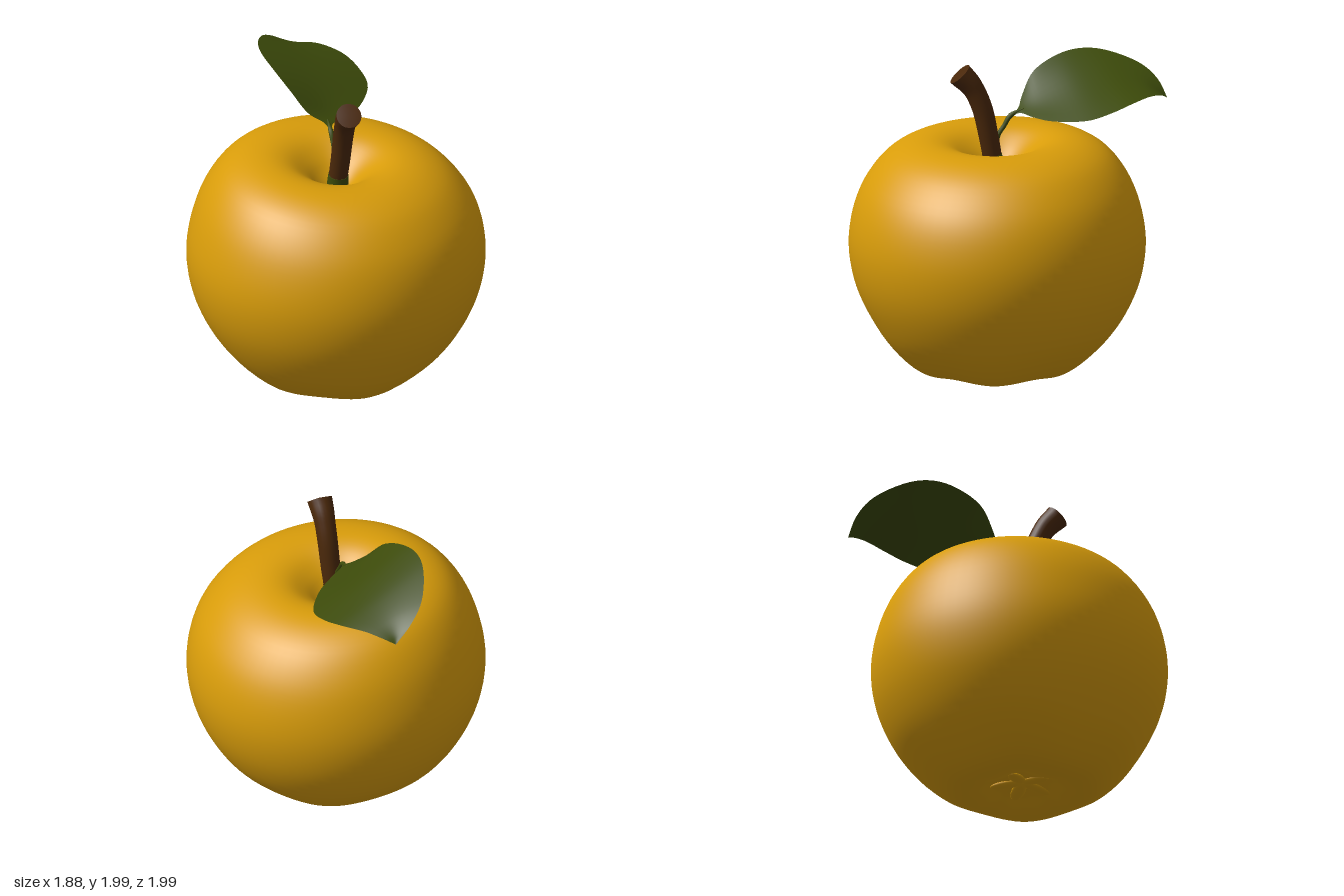
import * as THREE from 'three';
import { mergeVertices } from 'three/addons/utils/BufferGeometryUtils.js';

const vec = (p) => new THREE.Vector3(...p);
const curve = (points) => new THREE.CatmullRomCurve3(points.map(vec));
const smoothstep = THREE.MathUtils.smoothstep;

// Weld seams so smooth normals run right round the surface
function smooth(geometry) {
  geometry.deleteAttribute('uv');
  geometry.deleteAttribute('normal');
  const welded = mergeVertices(geometry, 1e-4);
  welded.computeVertexNormals();
  return welded;
}

// Closed tube whose radius changes along its path
function taperedTube(points, radii, segments, sides) {
  const path = curve(points);
  const frames = path.computeFrenetFrames(segments);
  const positions = [], index = [];
  for (let i = 0; i <= segments; i++) {
    const t = i / segments;
    const c = path.getPointAt(t);
    const k = Math.min(Math.floor(t * (radii.length - 1)), radii.length - 2);
    const r = THREE.MathUtils.lerp(radii[k], radii[k + 1], t * (radii.length - 1) - k);
    for (let j = 0; j < sides; j++) {
      const a = (j / sides) * Math.PI * 2;
      const p = c.clone()
        .addScaledVector(frames.normals[i], Math.cos(a) * r)
        .addScaledVector(frames.binormals[i], Math.sin(a) * r);
      positions.push(p.x, p.y, p.z);
      if (i < segments) {
        const b = i * sides + j, n = i * sides + ((j + 1) % sides);
        index.push(b, n, b + sides, n, n + sides, b + sides);
      }
    }
  }
  // End cap with its own vertices, so its rim stays sharp
  const last = segments * sides * 3;
  const start = positions.length / 3;
  positions.push(...positions.slice(last, last + sides * 3));
  const end = path.getPointAt(1).addScaledVector(path.getTangentAt(1), 0.008);
  positions.push(end.x, end.y, end.z);
  for (let j = 0; j < sides; j++) index.push(start + j, start + ((j + 1) % sides), start + sides);

  const g = new THREE.BufferGeometry();
  g.setAttribute('position', new THREE.Float32BufferAttribute(positions, 3));
  g.setIndex(index);
  g.computeVertexNormals();
  return g;
}

// Fruit body: lathe with a tilted crown and five soft lobes underneath
function fruitGeometry() {
  const profile = curve([
    [0, 0.085, 0], [0.08, 0.08, 0], [0.17, 0.06, 0], [0.26, 0.025, 0], [0.37, 0.008, 0],
    [0.49, 0.045, 0], [0.67, 0.2, 0], [0.81, 0.4, 0], [0.9, 0.61, 0], [0.935, 0.83, 0],
    [0.912, 1.04, 0], [0.838, 1.24, 0], [0.71, 1.405, 0], [0.57, 1.485, 0], [0.42, 1.51, 0],
    [0.3, 1.485, 0], [0.19, 1.41, 0], [0.11, 1.325, 0], [0.05, 1.27, 0], [0, 1.26, 0],
  ]);
  const points = profile.getPoints(80).map((p) => new THREE.Vector2(Math.max(p.x, 0), p.y));
  const g = new THREE.LatheGeometry(points, 80);
  const pos = g.attributes.position;
  for (let i = 0; i < pos.count; i++) {
    const x = pos.getX(i), z = pos.getZ(i);
    let y = pos.getY(i);
    const a = Math.atan2(z, x);
    const low = 1 - smoothstep(y, 0, 0.4);
    const ring = smoothstep(Math.hypot(x, z), 0.02, 0.25);
    y += low * ring * 0.011 * (1 - Math.cos(5 * (a - Math.PI / 2)));
    y -= smoothstep(y, 1.0, 1.5) * (0.05 * x + 0.035 * z);
    pos.setXYZ(i, x * 1.005, Math.max(y, 0), z * 0.995 + 0.065 + low * 0.02);
  }
  return smooth(g);
}

// Leaf blade: cross-sections through left edge, midrib and right edge
function leafGeometry() {
  const base = [0.003, 1.655, -0.02], tip = [0.18, 1.735, -0.998];
  const left = curve([base, [-0.015, 1.69, -0.075], [-0.1, 1.75, -0.13], [-0.18, 1.88, -0.23],
    [-0.225, 1.965, -0.4], [-0.232, 1.995, -0.55], [-0.19, 1.985, -0.7], [-0.06, 1.91, -0.9],
    [0.06, 1.83, -0.975], tip]);
  const middle = curve([base, [0.013, 1.685, -0.075], [0.02, 1.705, -0.12], [0.05, 1.75, -0.22],
    [0.09, 1.82, -0.4], [0.11, 1.85, -0.55], [0.12, 1.86, -0.7], [0.13, 1.835, -0.86],
    [0.155, 1.785, -0.95], tip]);
  const right = curve([base, [0.045, 1.675, -0.075], [0.14, 1.668, -0.12], [0.28, 1.665, -0.21],
    [0.43, 1.69, -0.4], [0.44, 1.73, -0.55], [0.4, 1.77, -0.7], [0.31, 1.785, -0.85],
    [0.235, 1.765, -0.95], tip]);
  const rows = 44, cols = 12;
  const g = new THREE.PlaneGeometry(1, 1, cols, rows);
  const pos = g.attributes.position;
  for (let i = 0; i <= rows; i++) {
    const section = new THREE.CatmullRomCurve3(
      [left, middle, right].map((c) => c.getPoint(i / rows)), false, 'catmullrom', 0.5);
    for (let j = 0; j <= cols; j++) {
      const p = section.getPoint(j / cols);
      pos.setXYZ(i * (cols + 1) + j, p.x, p.y, p.z);
    }
  }
  // Rows run base to tip, so reverse the corners to face upward
  const order = Array.from(g.index.array);
  for (let i = 0; i < order.length; i += 3) [order[i], order[i + 1]] = [order[i + 1], order[i]];
  g.setIndex(order);
  return smooth(g);
}

export function createModel() {
  const model = new THREE.Group();
  model.name = 'apple';
  const material = (name, color, extra = {}) => {
    const m = new THREE.MeshStandardMaterial({ color, ...extra });
    m.name = name;
    return m;
  };
  const skin = material('golden skin', 0xd89c0a);
  const bark = material('brown bark', 0x4a280a);
  const green = material('leaf green', 0x3c4a0a, { side: THREE.DoubleSide });

  const add = (name, geometry, mat, parent = model) => {
    const mesh = new THREE.Mesh(geometry, mat);
    mesh.name = name;
    parent.add(mesh);
    return mesh;
  };

  add('fruit', fruitGeometry(), skin);

  // Dried calyx: five broad sepals folded in the bottom hollow
  const calyx = new THREE.Group();
  calyx.name = 'calyx';
  calyx.position.set(0, 0.075, 0.085);
  for (let i = 0; i < 5; i++) {
    const pivot = new THREE.Group();
    pivot.rotation.y = (i / 5) * Math.PI * 2;
    const sepal = add('sepal', new THREE.SphereGeometry(1, 16, 10), skin, pivot);
    sepal.scale.set(0.11, 0.02, 0.045);
    sepal.position.x = 0.1;
    sepal.rotation.z = -0.15;
    calyx.add(pivot);
  }
  model.add(calyx);

  // Stem rises upright, then bends forward and flares at its cut end
  add('stem', taperedTube(
    [[0, 1.24, 0.075], [0, 1.38, 0.095], [0.005, 1.54, 0.125], [0.003, 1.73, 0.17],
      [-0.008, 1.86, 0.232], [-0.02, 1.94, 0.305]],
    [0.056, 0.06, 0.062, 0.064, 0.066, 0.08], 32, 20), bark);

  // Green collar round the foot of the stem
  add('stemCollar', taperedTube(
    [[0, 1.25, 0.076], [0, 1.33, 0.088], [0, 1.41, 0.1]], [0.07, 0.068, 0.063], 6, 20), green);

  // Leaf stalk rises from the hollow behind the stem
  add('leafStalk', taperedTube(
    [[-0.01, 1.36, 0.06], [-0.008, 1.46, 0.068], [-0.005, 1.53, 0.058], [0, 1.59, 0.02],
      [0.004, 1.655, -0.022], [0.018, 1.695, -0.1]],
    [0.02, 0.018, 0.015, 0.014, 0.016, 0.005], 28, 10), green);
  add('leaf', leafGeometry(), green);

  return model;
}
